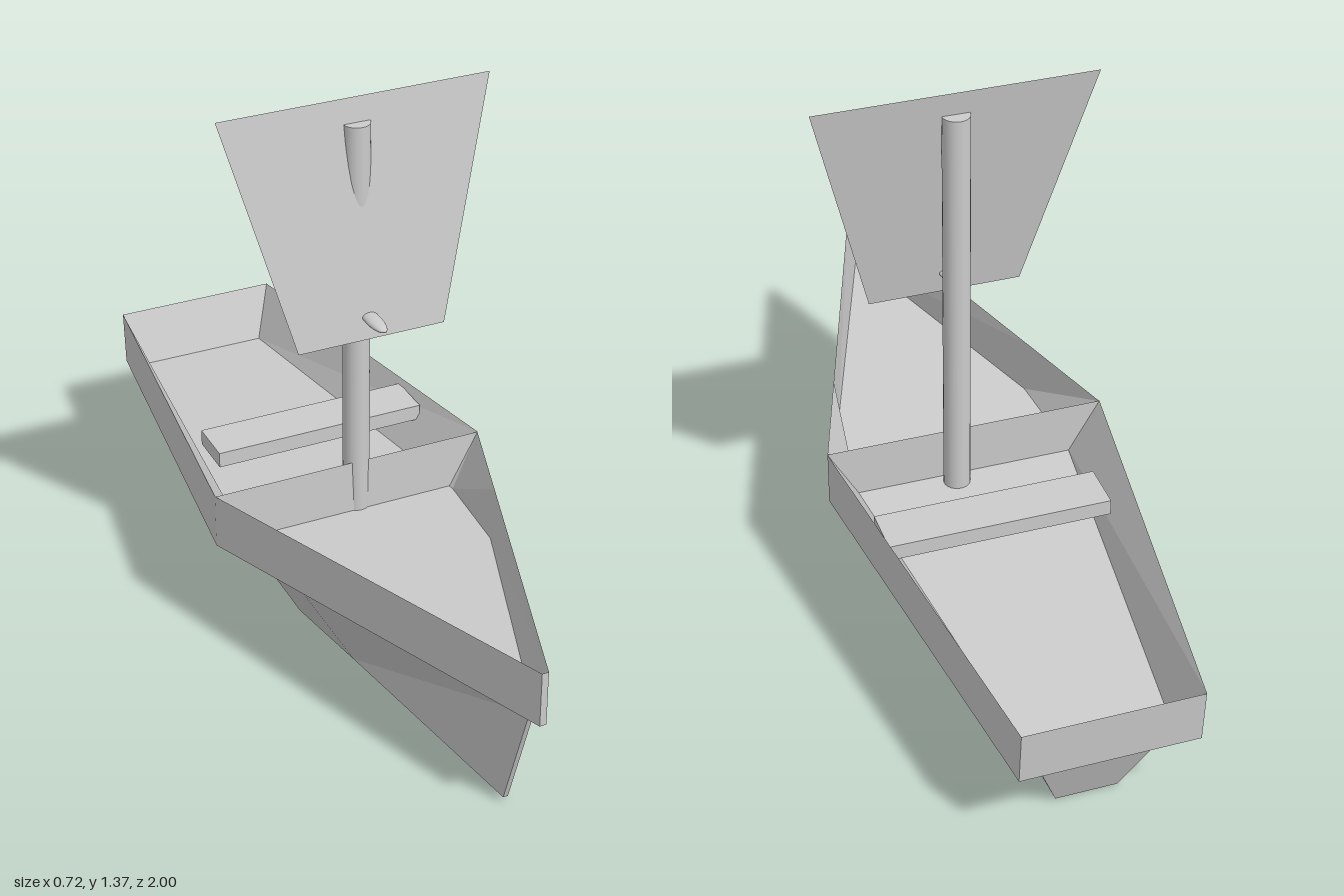
import * as THREE from 'three';

const CX = -0.01; // centre line of the boat
const grey = () => new THREE.MeshStandardMaterial({ color: 0xcccccc, flatShading: true });
const smooth = () => new THREE.MeshStandardMaterial({ color: 0xcccccc });

// Closed outline from stations [z, half width, y], bow to stern on +x, back on -x
function ring(stations) {
  const side = (s) => stations.map(([z, w, y]) => [CX + s * w, y, z]);
  return [...side(1), ...side(-1).reverse()];
}

function quad(out, a, b, c, d) {
  out.push(...a, ...b, ...c, ...a, ...c, ...d);
}

function toGeometry(positions) {
  const g = new THREE.BufferGeometry();
  g.setAttribute('position', new THREE.Float32BufferAttribute(positions, 3));
  g.computeVertexNormals();
  return g;
}

// Skin between consecutive rings
function loft(rings) {
  const out = [];
  for (let r = 0; r < rings.length - 1; r++) {
    const a = rings[r], b = rings[r + 1], n = a.length;
    for (let i = 0; i < n; i++) {
      const j = (i + 1) % n;
      quad(out, a[i], a[j], b[j], b[i]);
    }
  }
  return toGeometry(out);
}

// Flat cap across a ring, facing up or down
function cap(r, up) {
  const out = [], n = r.length;
  for (let i = 0; i < n / 2 - 1; i++) {
    const q = [r[i], r[i + 1], r[n - 2 - i], r[n - 1 - i]];
    quad(out, ...(up ? q : q.reverse()));
  }
  return toGeometry(out);
}

export function createModel() {
  const model = new THREE.Group();
  model.name = 'sailingBoat';
  const add = (name, geometry, material = grey()) => {
    const mesh = new THREE.Mesh(geometry, material);
    mesh.name = name;
    model.add(mesh);
    return mesh;
  };

  // Outlines from the keel upwards
  const keel = ring([[0.85, 0.006, 0.015], [0.24, 0.094, 0.01], [0, 0.13, 0.007], [-0.855, 0.075, 0]]);
  const deck = ring([[0.95, 0.006, 0.322], [0.28, 0.25, 0.289], [0.03, 0.275, 0.276], [-0.945, 0.163, 0.228]]);
  const rim = (low) => ring([[1, 0.008, 0.465 - low], [0.28, 0.257, 0.427 - low],
    [0.01, 0.35, 0.413 - low], [-1 + low * 0.07, 0.2125, 0.363 - low]]);
  const rimBottom = rim(0.14), rimTop = rim(0);

  add('hull', loft([keel, deck]));
  add('hullBottom', cap(keel, false));
  add('gunwale', loft([deck, rimBottom, rimTop, deck]));
  add('floor', cap(deck, true));

  // Cross panel at the widest point
  const panel = [];
  quad(panel, [CX - 0.275, 0.276, 0.015], [CX + 0.275, 0.276, 0.015],
    [CX + 0.35, 0.413, 0.012], [CX - 0.35, 0.413, 0.012]);
  add('bulkhead', toGeometry(panel)).material.side = THREE.DoubleSide;

  // Seat plank
  add('seat', new THREE.BoxGeometry(0.55, 0.04, 0.12)).position.set(0.015, 0.36, -0.27);

  // Mast
  add('mast', new THREE.CylinderGeometry(0.033, 0.033, 1.03, 24), smooth())
    .position.set(0.02, 0.79, -0.0125);

  // Leaning sail, wider at the top
  const sail = [];
  quad(sail, [-0.165, 0.785, 0.07], [0.21, 0.785, 0.07], [0.36, 1.365, -0.02], [-0.32, 1.365, -0.02]);
  add('sail', toGeometry(sail)).material.side = THREE.DoubleSide;

  // Small spar pin pushed through the foot of the sail
  const pin = add('sailPin', new THREE.SphereGeometry(1, 20, 12), smooth());
  pin.scale.set(0.02, 0.011, 0.062);
  pin.position.set(0.02, 0.84, 0.083);

  return model;
}
